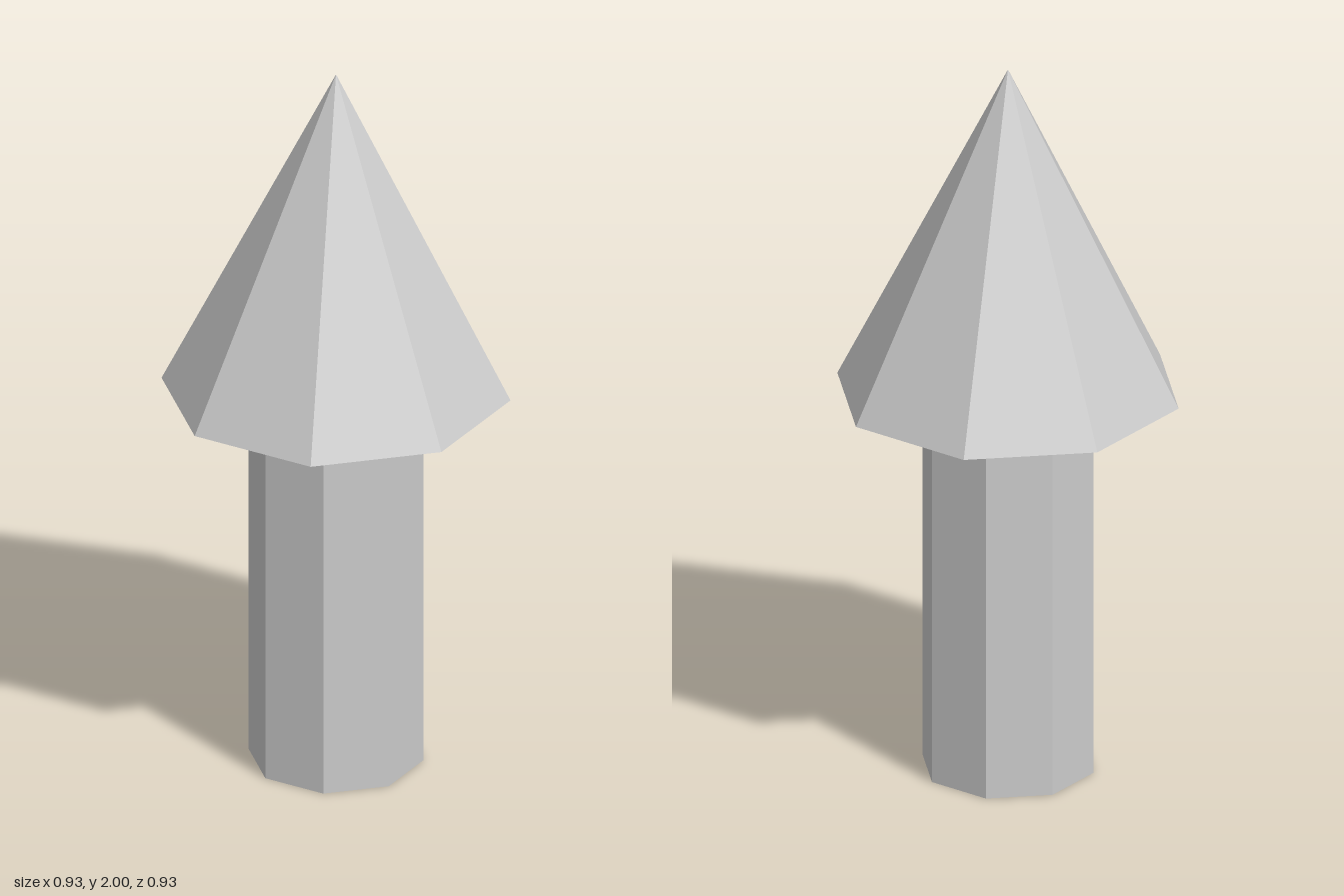
import * as THREE from 'three';

const SIDES = 8;
const BASE_Y = 1.075; // where the head meets the shaft
const TOP_Y = 2;

export function createModel() {
  const group = new THREE.Group();
  group.name = 'arrow';
  const material = new THREE.MeshStandardMaterial({ color: 0xcccccc, flatShading: true });

  const add = (name, geometry, y) => {
    const mesh = new THREE.Mesh(geometry, material);
    mesh.name = name;
    mesh.position.y = y;
    group.add(mesh);
  };

  // Octagonal shaft
  add('shaft', new THREE.CylinderGeometry(0.232, 0.232, BASE_Y, SIDES), BASE_Y / 2);

  // Eight-sided pointed head with a closed underside
  add('head', new THREE.ConeGeometry(0.464, TOP_Y - BASE_Y, SIDES), (BASE_Y + TOP_Y) / 2);

  return group;
}
